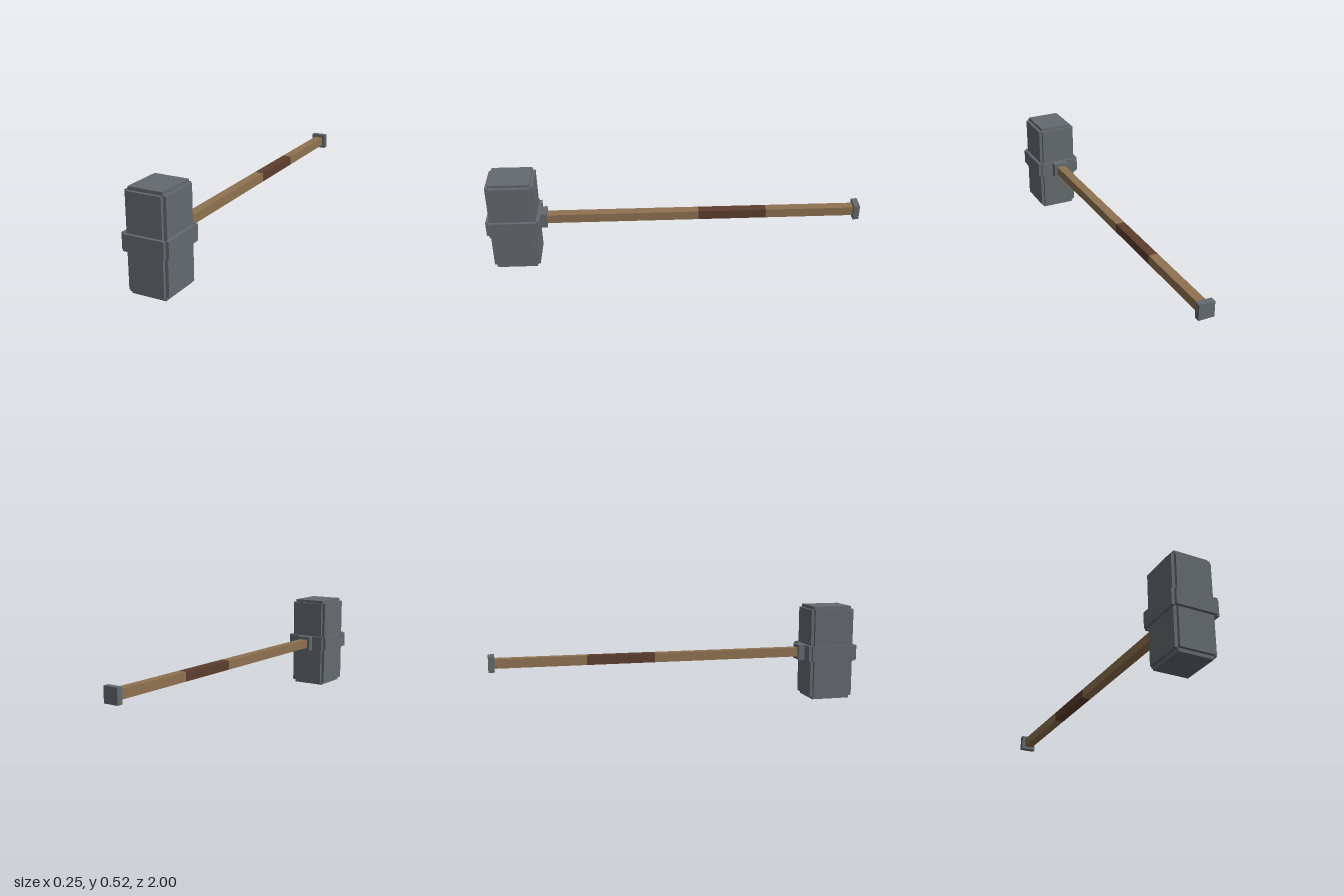
import * as THREE from 'three';

export function createModel() {
  const model = new THREE.Group();
  model.name = 'warHammer';

  const mat = (name, color) => {
    const m = new THREE.MeshStandardMaterial({ color });
    m.name = name;
    return m;
  };
  const steel = mat('steel grey', 0x646a6e);
  const wood = mat('wood brown', 0x8f7250);
  const leather = mat('leather dark brown', 0x5e3f2f);

  const midY = 0.2585; // height of the handle axis
  const headZ = 0.86; // centre of the head

  const box = (name, material, w, h, d, z, x = 0, parent = model) => {
    const mesh = new THREE.Mesh(new THREE.BoxGeometry(w, h, d), material);
    mesh.name = name;
    mesh.position.set(x, midY, z);
    parent.add(mesh);
    return mesh;
  };

  // Head: three crossing blocks leave a stepped notch along every edge
  const head = new THREE.Group();
  head.name = 'head';
  model.add(head);
  box('headCore', steel, 0.184, 0.517, 0.215, headZ, 0, head);
  box('headSides', steel, 0.217, 0.483, 0.215, headZ, 0, head);
  box('headFrontBack', steel, 0.184, 0.483, 0.247, headZ, 0, head);

  // Band: four plates around the middle of the head
  const band = new THREE.Group();
  band.name = 'band';
  model.add(band);
  for (const s of [-1, 1]) {
    box('bandSidePlate', steel, 0.0165, 0.083, 0.247, headZ, s * 0.11675, band);
    box('bandEndPlate', steel, 0.217, 0.083, 0.0165, headZ + s * 0.13175, 0, band);
  }

  // Socket joining handle and band
  box('socket', steel, 0.083, 0.083, 0.034, 0.703);

  // Handle in three lengths, the middle one wrapped as a grip
  const rod = (name, material, z0, z1) =>
    box(name, material, 0.049, 0.049, z1 - z0, (z0 + z1) / 2);
  rod('handleFront', wood, -0.127, 0.688);
  rod('grip', leather, -0.492, -0.127);
  rod('handleBack', wood, -0.968, -0.492);

  // Pommel plate
  box('pommel', steel, 0.083, 0.083, 0.032, -0.984);

  return model;
}
